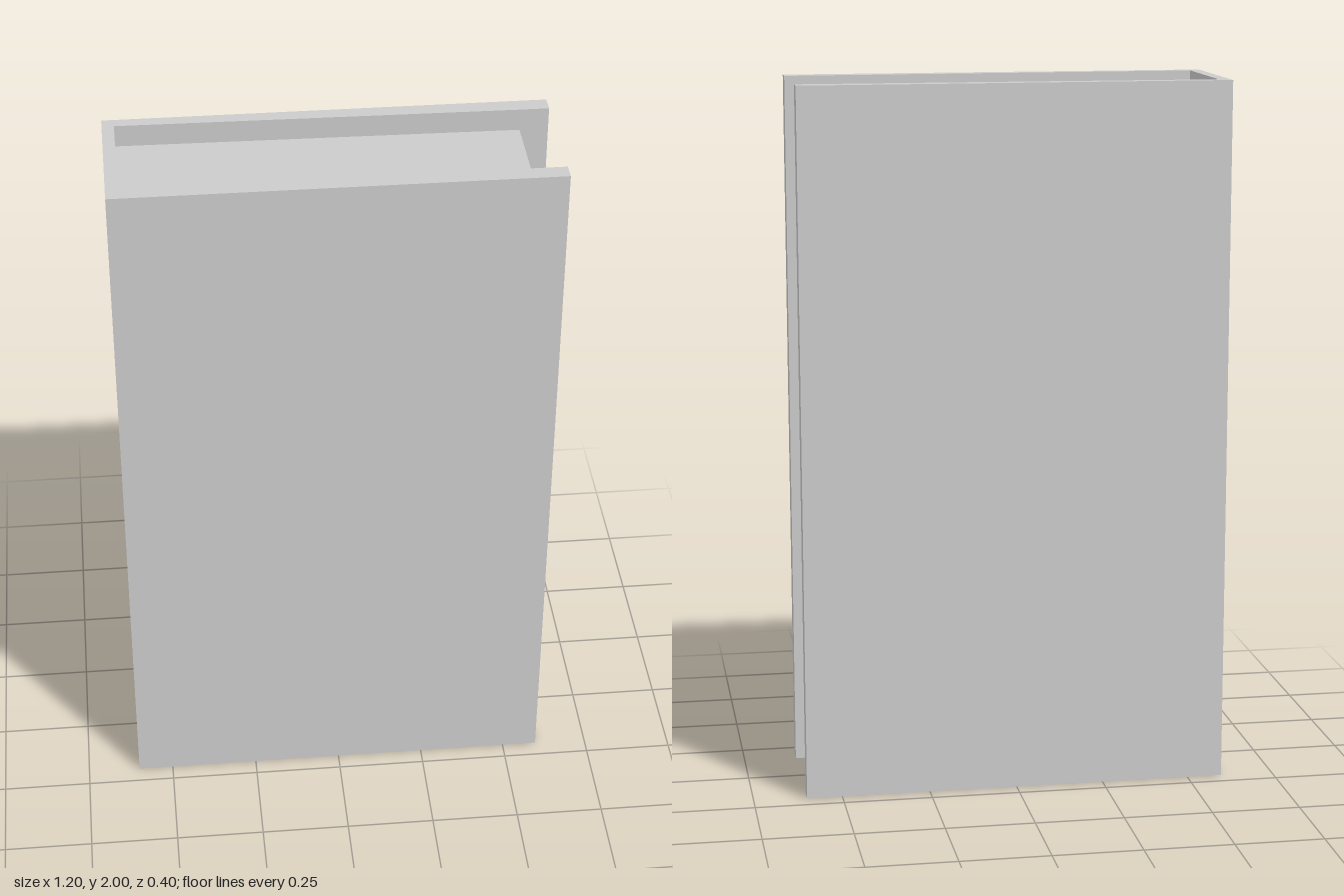
import * as THREE from 'three';

const material = new THREE.MeshStandardMaterial({ color: 0xcccccc, flatShading: true });

// Extrudes a floor-plan outline of [x, z] corners upward from y0 to y1
function upright(name, outline, y0, y1) {
  const shape = new THREE.Shape(outline.map(([x, z]) => new THREE.Vector2(x, -z)));
  const geometry = new THREE.ExtrudeGeometry(shape, { depth: y1 - y0, bevelEnabled: false });
  geometry.rotateX(-Math.PI / 2);
  geometry.translate(0, y0, 0);
  const mesh = new THREE.Mesh(geometry, material);
  mesh.name = name;
  return mesh;
}

export function createModel() {
  const book = new THREE.Group();
  book.name = 'book';

  const halfWidth = 0.6, halfDepth = 0.2;
  const spineX = -0.567, pageX = 0.522;      // inner spine face, page fore-edge
  const spineZ = 0.167, pageZ = 0.152;       // boards thicken towards the fore-edge

  // Spine and both boards as one U-shaped cover
  book.add(upright('cover', [
    [-halfWidth, halfDepth], [halfWidth, halfDepth], [halfWidth, pageZ], [pageX, pageZ], [spineX, spineZ],
    [spineX, -spineZ], [pageX, -pageZ], [halfWidth, -pageZ], [halfWidth, -halfDepth], [-halfWidth, -halfDepth],
  ], 0, 2));

  // Page block, set back from the top, bottom and fore-edge
  book.add(upright('pages', [
    [spineX, spineZ], [pageX, pageZ], [pageX, -pageZ], [spineX, -spineZ],
  ], 0.065, 1.938));

  return book;
}
